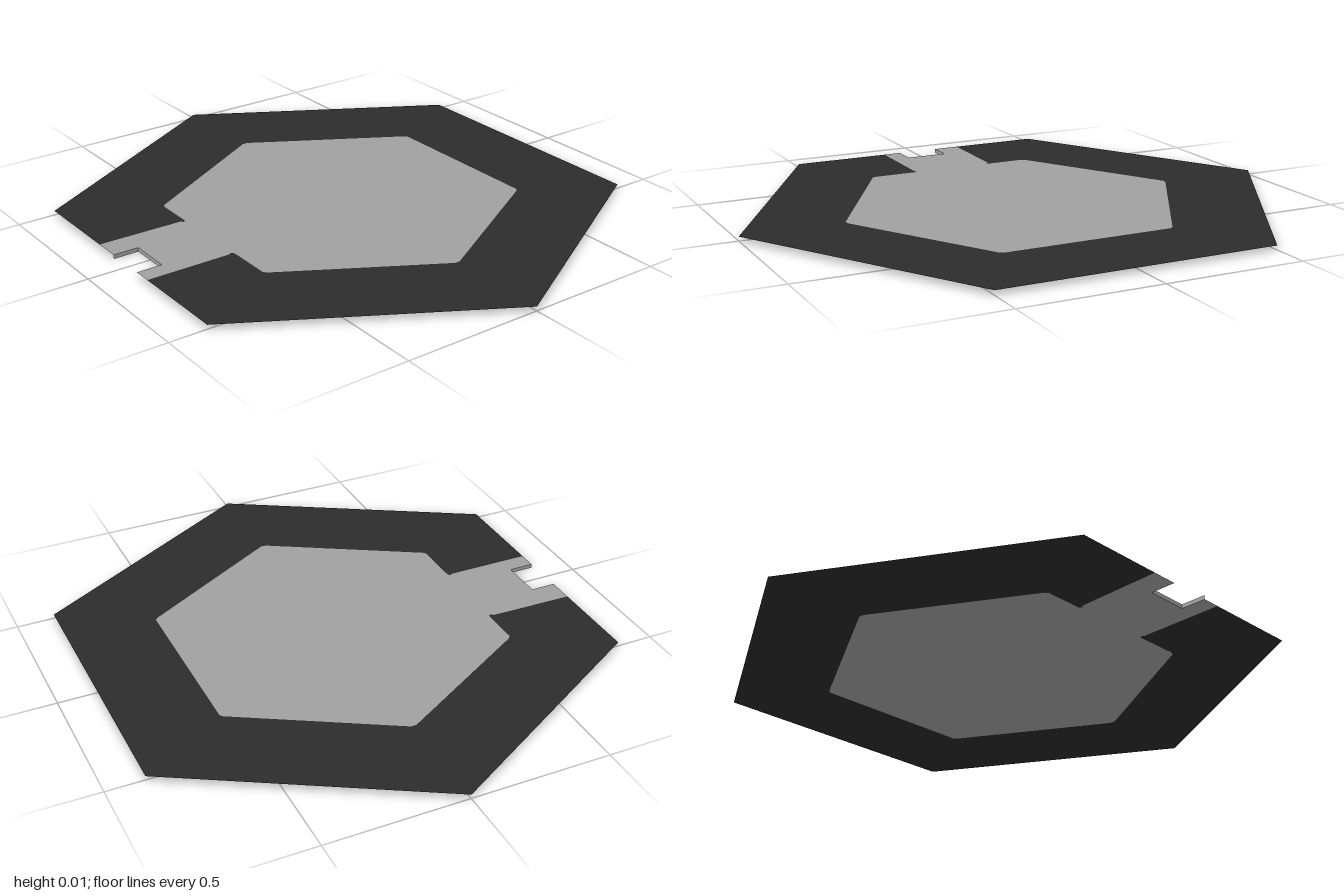
import * as THREE from 'three';

const H = 0.015;          // tile thickness
const EDGE = 0.866;       // z of the flat front and back edges
const NOTCH = 0.077;      // half width of the notch
const NOTCH_Z = 0.775;    // back of the notch

export function createModel() {
  const model = new THREE.Group();
  const stone = new THREE.MeshStandardMaterial({ color: 0xa0a0a0 });
  stone.name = 'light grey';
  const border = new THREE.MeshStandardMaterial({ color: 0x2c2c2c });
  border.name = 'charcoal';

  function add(name, geometry, material, x = 0, y = 0, z = 0) {
    const mesh = new THREE.Mesh(geometry, material);
    mesh.name = name;
    mesh.position.set(x, y, z);
    model.add(mesh);
  }

  // Upper and lower face of a flat outline given as [x, z] points
  function addFaces(name, points, material) {
    const flat = (sign) => new THREE.ShapeGeometry(
      new THREE.Shape(points.map(([x, z]) => new THREE.Vector2(x, sign * z))));
    add(name + 'Top', flat(-1).rotateX(-Math.PI / 2), material, 0, H);
    add(name + 'Bottom', flat(1).rotateX(Math.PI / 2), material);
  }

  // Boundary between floor and border: inner hexagon opening into the front channel
  const inner = [
    [-0.172, EDGE], [-0.166, 0.56], [-0.157, 0.552], [-0.163, 0.543],
    [-0.305, 0.543], [-0.317, 0.535], [-0.622, 0.01], [-0.622, -0.01],
    [-0.317, -0.537], [-0.305, -0.546], [0.312, -0.546], [0.324, -0.537],
    [0.628, -0.01], [0.628, 0.01], [0.324, 0.535], [0.312, 0.543],
    [0.145, 0.543], [0.137, 0.552], [0.144, 0.56], [0.143, EDGE],
  ];

  // Floor with its notched channel
  addFaces('floor', [
    ...inner, [NOTCH, EDGE], [NOTCH, NOTCH_Z], [-NOTCH, NOTCH_Z], [-NOTCH, EDGE],
  ], stone);

  // Dark hexagonal border around the floor
  addFaces('border', [
    ...inner, [0.5, EDGE], [1, 0], [0.5, -EDGE], [-0.5, -EDGE], [-1, 0], [-0.5, EDGE],
  ], border);

  // Walls of the notch
  add('notchBackWall', new THREE.PlaneGeometry(2 * NOTCH, H), stone, 0, H / 2, NOTCH_Z);
  for (const side of [-1, 1]) {
    const wall = new THREE.PlaneGeometry(EDGE - NOTCH_Z, H).rotateY(-side * Math.PI / 2);
    add(side > 0 ? 'notchLeftWall' : 'notchRightWall', wall, stone,
      side * NOTCH, H / 2, (EDGE + NOTCH_Z) / 2);
  }

  return model;
}
